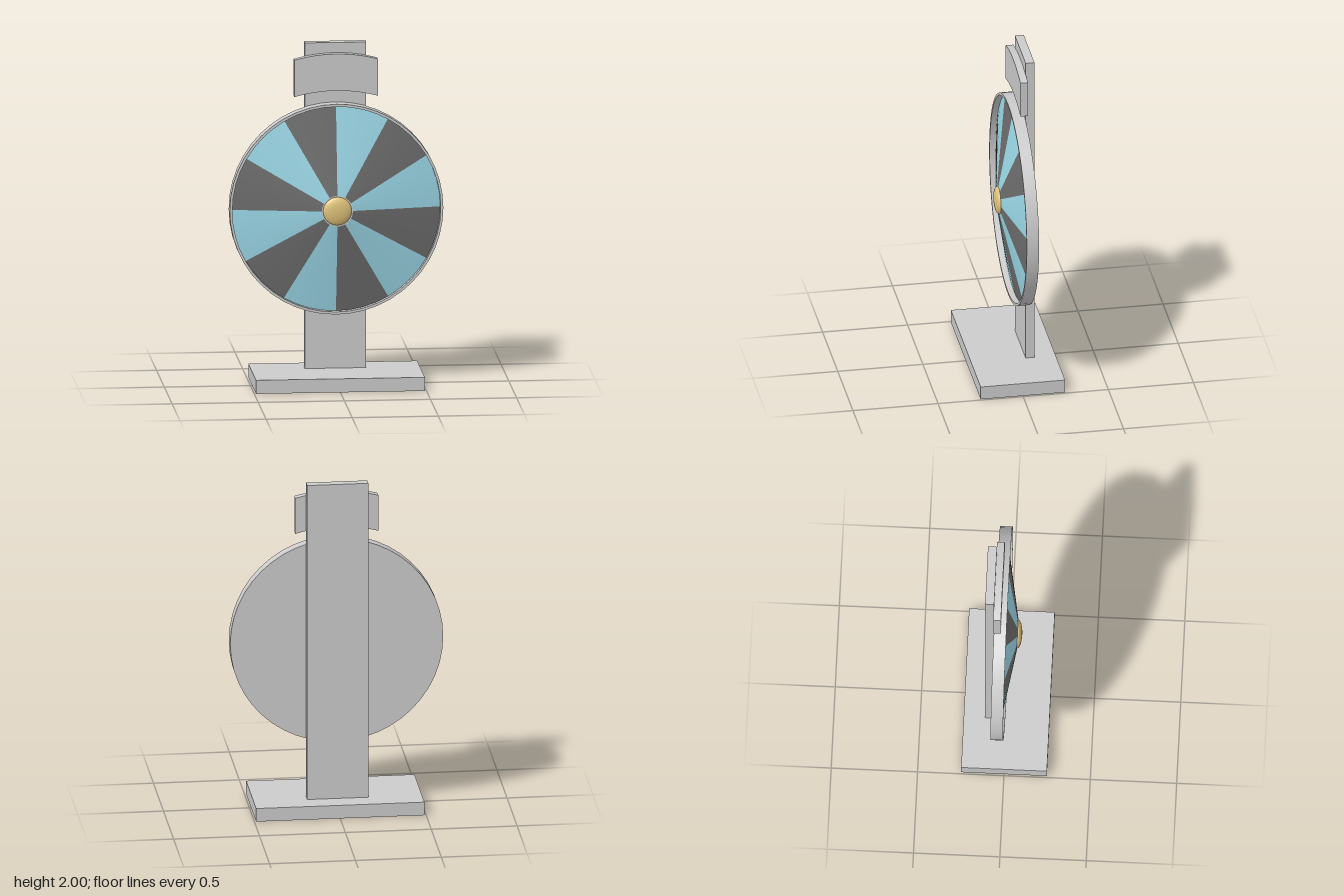
import * as THREE from 'three';
import { toCreasedNormals } from 'three/addons/utils/BufferGeometryUtils.js';

const paint = (color) => new THREE.MeshStandardMaterial({ color });
const grey = paint(0xcccccc);
const blue = paint(0x9bd8e8);
const dark = paint(0x6c6c6c);
const gold = paint(0xe0c47a);

const WHEEL_Y = 1.03;
const SEGMENTS = 12;
const INNER_R = 0.605;
const HUB_R = 0.09;
const CONE_BACK = -0.036;
const CONE_FRONT = 0.056;

function add(parent, name, geometry, material, x = 0, y = 0, z = 0) {
  const mesh = new THREE.Mesh(geometry, material);
  mesh.name = name;
  mesh.position.set(x, y, z);
  parent.add(mesh);
  return mesh;
}

// Plate whose top and bottom edges bow upward
function archedPlate(halfWidth, bottom, top, rise, depth) {
  const radius = (halfWidth ** 2 + rise ** 2) / (2 * rise);
  const half = Math.asin(halfWidth / radius);
  const shape = new THREE.Shape();
  shape.absarc(0, top + rise - radius, radius, Math.PI / 2 - half, Math.PI / 2 + half, false);
  shape.absarc(0, bottom + rise - radius, radius, Math.PI / 2 + half, Math.PI / 2 - half, true);
  shape.closePath();
  return toCreasedNormals(
    new THREE.ExtrudeGeometry(shape, { depth, bevelEnabled: false, curveSegments: 16 }), 0.5);
}

export function createModel() {
  const model = new THREE.Group();
  model.name = 'prizeWheel';

  // Stand
  add(model, 'base', new THREE.BoxGeometry(0.98, 0.08, 0.496), grey, 0, 0.04, 0);
  add(model, 'post', new THREE.BoxGeometry(0.356, 1.92, 0.052), grey, 0, 1.04, -0.098);
  add(model, 'signPlate', archedPlate(0.242, 1.69, 1.907, 0.033, 0.044), grey, 0, 0, -0.074);

  // Wheel, built around its own axis facing +z
  const wheel = new THREE.Group();
  wheel.name = 'wheel';
  wheel.position.y = WHEEL_Y;
  model.add(wheel);

  // Closed back, outer wall and raised lip
  const profile = [[0, -0.072], [0.62, -0.072], [0.62, 0], [INNER_R, 0], [INNER_R, CONE_BACK - 0.004]]
    .map(([r, h]) => new THREE.Vector2(r, h));
  const rim = new THREE.LatheGeometry(profile, 48).rotateX(Math.PI / 2);
  add(wheel, 'rim', toCreasedNormals(rim, 0.6), grey);

  // Alternating wedges of a shallow cone
  const step = (Math.PI * 2) / SEGMENTS;
  for (let i = 0; i < SEGMENTS; i++) {
    const wedge = new THREE.CylinderGeometry(
      HUB_R, INNER_R, CONE_FRONT - CONE_BACK, 4, 1, true, Math.PI / 2 + i * step, step);
    wedge.rotateX(Math.PI / 2);
    add(wheel, 'wedge' + (i + 1), wedge, i % 2 ? dark : blue, 0, 0, (CONE_FRONT + CONE_BACK) / 2);
  }

  // Hub: flat seat with a shallow dome
  add(wheel, 'hubSeat', new THREE.CircleGeometry(HUB_R, 48), grey, 0, 0, CONE_FRONT);
  const dome = new THREE.SphereGeometry(0.083, 32, 12, 0, Math.PI * 2, 0, Math.PI / 2);
  dome.rotateX(Math.PI / 2).scale(1, 1, 0.32);
  add(wheel, 'hubDome', dome, gold, 0, 0, CONE_FRONT);

  return model;
}
